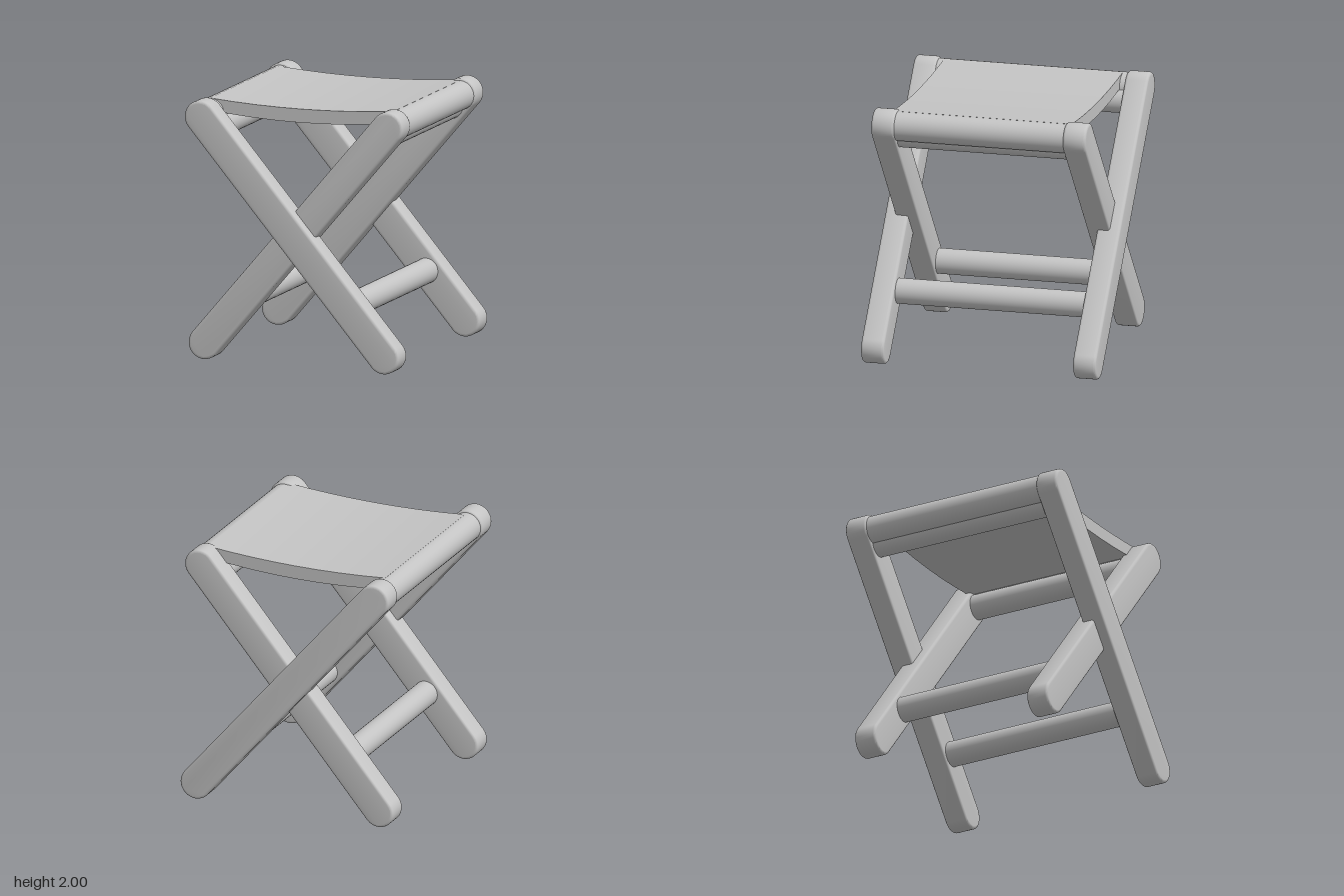
import * as THREE from 'three';
import { toCreasedNormals } from 'three/addons/utils/BufferGeometryUtils.js';

const TOP_X = 0.745, TOP_Y = 1.875, MID_Y = 1;
const LEG_R = 0.125, LEG_T = 0.18, BEVEL = 0.02;

const grey = new THREE.MeshStandardMaterial({ color: 0xc4c4c4 });
grey.name = 'plain grey';

// Round-ended bar lying along x, centred on the origin
function legGeometry() {
  const half = Math.hypot(TOP_X, TOP_Y - MID_Y);
  const s = new THREE.Shape();
  s.moveTo(-half, -LEG_R);
  s.lineTo(half, -LEG_R);
  s.absarc(half, 0, LEG_R, -Math.PI / 2, Math.PI / 2, false);
  s.lineTo(-half, LEG_R);
  s.absarc(-half, 0, LEG_R, Math.PI / 2, Math.PI * 1.5, false);
  const g = new THREE.ExtrudeGeometry(s, {
    depth: LEG_T - 2 * BEVEL, curveSegments: 14,
    bevelEnabled: true, bevelSize: BEVEL, bevelThickness: BEVEL, bevelOffset: -BEVEL, bevelSegments: 3,
  });
  g.translate(0, 0, BEVEL - LEG_T / 2);
  return toCreasedNormals(g, 0.6);
}

// Sagging seat slab, extruded along z
function seatGeometry(halfDepth) {
  const top = [], under = [];
  const n = 8, w = 0.745;
  for (let i = 0; i <= n; i++) {
    const u = (i / n) * 2 - 1;
    top.push(new THREE.Vector2(u * w, 1.953 + 0.034 * u * u));
    under.push(new THREE.Vector2(u * w, 1.848 + 0.045 * u * u));
  }
  const s = new THREE.Shape([...under, ...top.reverse()]);
  const g = new THREE.ExtrudeGeometry(s, { depth: 2 * halfDepth, bevelEnabled: false });
  g.translate(0, 0, -halfDepth);
  return toCreasedNormals(g, 0.6);
}

export function createModel() {
  const model = new THREE.Group();
  const add = (name, geometry) => {
    const mesh = new THREE.Mesh(geometry, grey);
    mesh.name = name;
    model.add(mesh);
    return mesh;
  };
  const rod = (name, x, y, radius, halfLength) => {
    const g = new THREE.CylinderGeometry(radius, radius, 2 * halfLength, 32);
    g.rotateX(Math.PI / 2);
    add(name, g).position.set(x, y, 0);
  };

  // Two crossing pairs: the outer pair leans to -x at the top, the inner pair to +x
  const leg = legGeometry();
  const angle = Math.atan2(TOP_Y - MID_Y, TOP_X);
  const slope = (TOP_Y - MID_Y) / TOP_X;
  for (const { name, side, z } of [
    { name: 'outer', side: -1, z: 0.83 },
    { name: 'inner', side: 1, z: 0.75 },
  ]) {
    for (const end of [1, -1]) {
      const m = add(`${name}${end > 0 ? 'Front' : 'Back'}Leg`, leg);
      m.position.set(0, MID_Y, end * z);
      m.rotation.z = side * angle;
    }
    // Rods joining each pair: seat roll, upper rung beneath it, lower rung
    rod(`${name}SeatRoll`, side * TOP_X, 1.873, 0.113, z - 0.07);
    rod(`${name}UpperRung`, side * 0.67, MID_Y + 0.67 * slope, 0.098, z - 0.05);
    rod(`${name}LowerRung`, -side * 0.437, MID_Y - 0.437 * slope, 0.098, z - 0.05);
  }

  add('seat', seatGeometry(0.7));
  return model;
}
